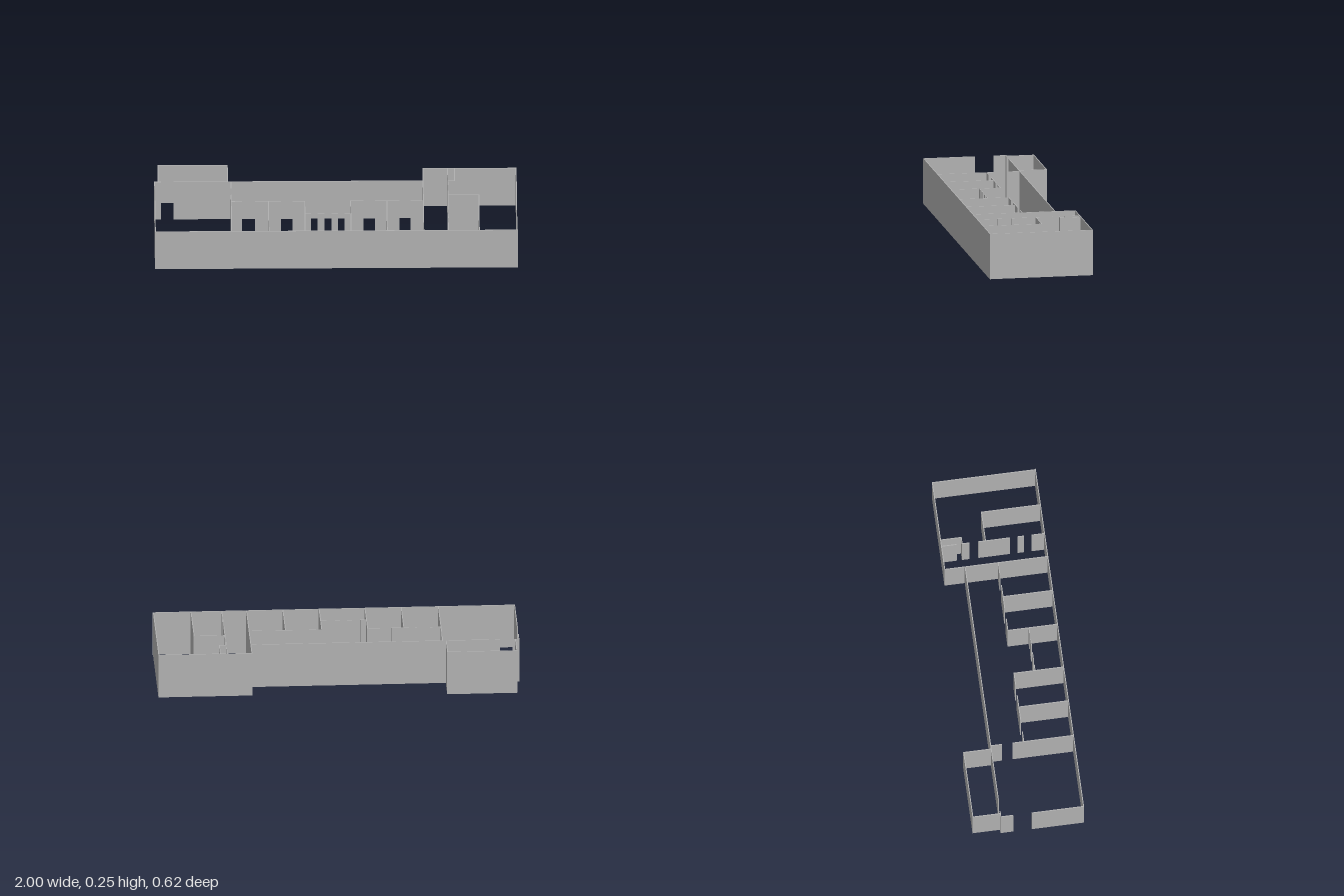
import * as THREE from 'three';

const HEIGHT = 0.255;
const THICK = 0.005;

export function createModel() {
  const model = new THREE.Group();
  model.name = 'floorPlanWalls';
  const plaster = new THREE.MeshStandardMaterial({ color: 0xb0b0b0 });
  plaster.name = 'grey plaster';

  // One straight wall slab, full height, overlapping slightly at the corners
  const slab = (group, cx, cz, lx, lz) => {
    const wall = new THREE.Mesh(new THREE.BoxGeometry(lx, HEIGHT, lz), plaster);
    wall.position.set(cx, HEIGHT / 2, cz);
    wall.name = 'wall';
    group.add(wall);
  };

  // Wall along x at depth z; each [start, end] span is solid, gaps are doorways
  const alongX = (name, z, ...spans) => {
    const group = new THREE.Group();
    group.name = name;
    for (const [a, b] of spans) slab(group, (a + b) / 2, z, b - a + THICK, THICK);
    model.add(group);
  };

  // Wall along z at position x
  const alongZ = (name, x, ...spans) => {
    const group = new THREE.Group();
    group.name = name;
    for (const [a, b] of spans) slab(group, x, (a + b) / 2, THICK, b - a + THICK);
    model.add(group);
  };

  const front = 0.306, corridorBack = -0.154, corridorFront = 0.03;
  const endX = 0.9975, wingBack = -0.267, bayBack = -0.307;

  // Outer shell
  alongX('frontWall', front, [-endX, endX]);
  alongZ('westWall', -endX, [corridorBack, -0.088], [0.02, front]);
  alongX('corridorBackWall', corridorBack, [-endX, -0.965], [-0.89, 0.482]);
  alongZ('eastWall', endX - 0.002, [wingBack, front]);
  alongX('eastWingBackWall', wingBack, [0.482, endX - 0.002]);
  alongZ('eastWingSideWall', 0.482, [wingBack, front]);

  // Bay projecting behind the west room
  alongX('bayBackWall', bayBack, [-0.978, -0.596]);
  for (const x of [-0.978, -0.596]) alongZ('baySideWall', x, [bayBack, corridorBack]);

  // West room partition
  alongZ('westRoomPartition', -0.577, [corridorBack, -0.093], [-0.03, front]);

  // Small rooms along the corridor
  for (const x of [-0.372, -0.172, 0.081, 0.281]) alongZ('roomPartition', x, [corridorFront, front]);
  alongX('westRoomsDoorWall', corridorFront, [-0.577, -0.52], [-0.443, -0.305], [-0.237, -0.172]);
  alongX('eastRoomsDoorWall', corridorFront, [0.081, 0.15], [0.217, 0.347], [0.414, 0.482]);
  alongX('lobbyDoorWall', 0.147, [-0.172, -0.14], [-0.1, -0.067], [-0.023, 0.008], [0.05, 0.081]);

  // East wing: hall partition, closet and inner room
  alongZ('eastHallPartition', 0.618, [wingBack, -0.185], [-0.15, -0.113], [-0.06, 0.112], [0.158, 0.19], [0.235, front]);
  alongZ('closetSide', 0.656, [wingBack, -0.152]);
  alongX('closetEnd', -0.152, [0.618, 0.656]);
  alongX('innerRoomBackWall', -0.022, [0.618, 0.788]);
  alongZ('innerRoomSideWall', 0.788, [-0.022, front]);

  return model;
}
